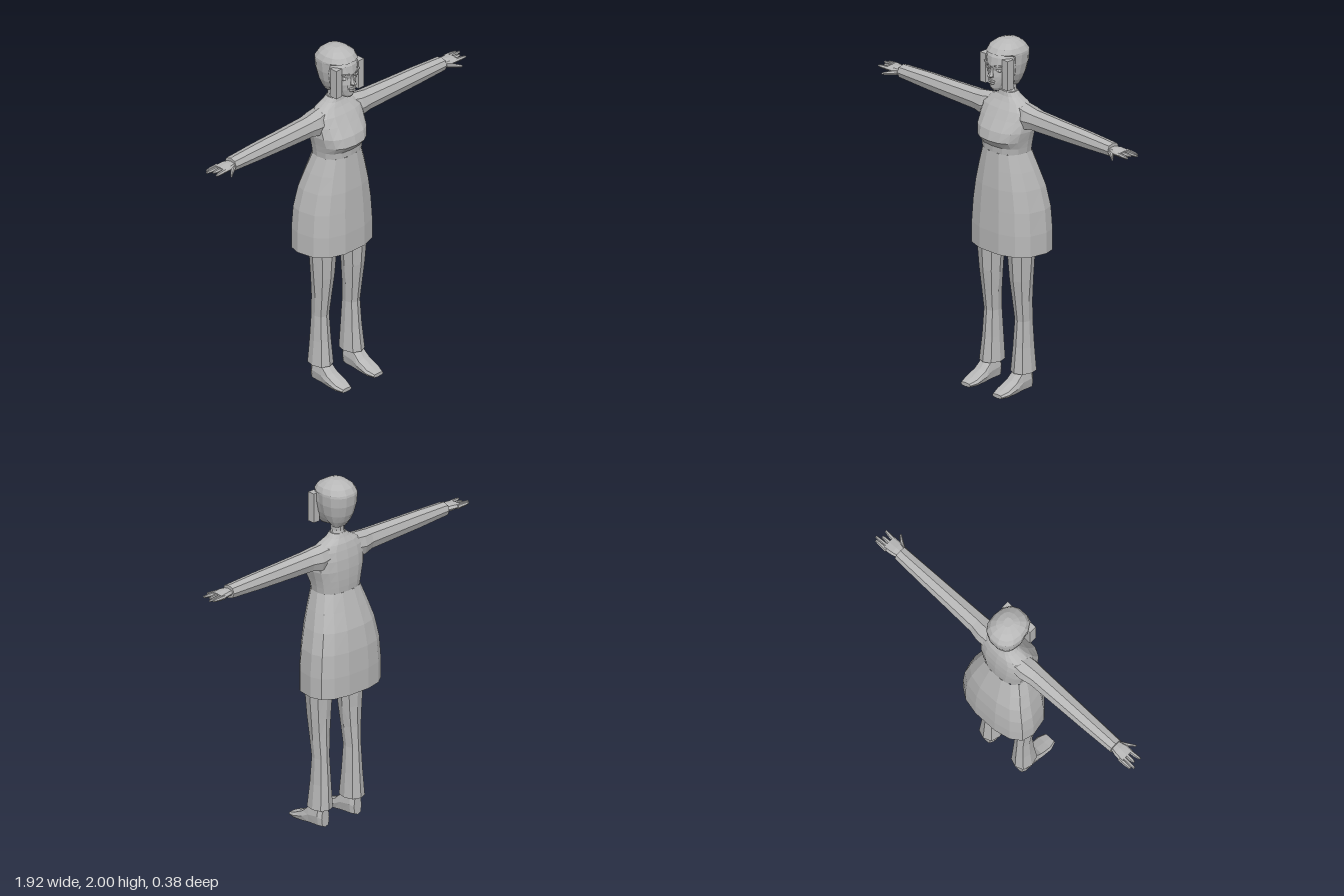
import * as THREE from 'three';

const grey = new THREE.MeshStandardMaterial({ color: 0xb8b8b8, flatShading: true, side: THREE.DoubleSide });
grey.name = 'plain grey';

// Closed ring of n points; f receives cosine and sine, squared off by power p
function ring(n, f, p = 1) {
  const soft = (v) => Math.sign(v) * Math.pow(Math.abs(v) < 1e-9 ? 0 : Math.abs(v), p);
  return Array.from({ length: n }, (_, i) => {
    const a = (i / n) * Math.PI * 2;
    return f(soft(Math.cos(a)), soft(Math.sin(a)));
  });
}

// Horizontal ring: widest at depth zc, reaching zf in front and zb behind
function level(n, [y, hx, zf, zb, zc = (zf + zb) / 2, cx = 0], p = 1) {
  return ring(n, (c, s) => [cx + hx * c, y, zc + s * (s > 0 ? zf - zc : zc - zb)], p);
}

// Upright ring across the x direction
function acrossX(n, [x, y0, y1, z0, z1], p = 1) {
  return ring(n, (c, s) => [x, (y0 + y1) / 2 + s * (y1 - y0) / 2, (z0 + z1) / 2 + c * (z1 - z0) / 2], p);
}

// Skin joining rings, with optional end caps
function loft(rings, capStart = true, capEnd = true) {
  const n = rings[0].length, pos = rings.flat(2), idx = [];
  for (let r = 0; r < rings.length - 1; r++) {
    for (let i = 0; i < n; i++) {
      const a = r * n + i, b = r * n + (i + 1) % n;
      idx.push(a, a + n, b, b, a + n, b + n);
    }
  }
  const cap = (r, flip) => {
    const mid = pos.length / 3;
    pos.push(...[0, 1, 2].map((k) => rings[r].reduce((t, v) => t + v[k], 0) / n));
    for (let i = 0; i < n; i++) {
      const a = r * n + i, b = r * n + (i + 1) % n;
      idx.push(mid, flip ? b : a, flip ? a : b);
    }
  };
  if (capStart) cap(0, false);
  if (capEnd) cap(rings.length - 1, true);
  const g = new THREE.BufferGeometry();
  g.setAttribute('position', new THREE.Float32BufferAttribute(pos, 3));
  g.setIndex(idx);
  g.computeVertexNormals();
  return g;
}

function mirrored(geo) {
  const g = geo.clone().scale(-1, 1, 1);
  const ix = g.index.array;
  for (let i = 0; i < ix.length; i += 3) [ix[i], ix[i + 1]] = [ix[i + 1], ix[i]];
  g.computeVertexNormals();
  return g;
}

export function createModel() {
  const model = new THREE.Group();
  model.name = 'woman';
  const add = (name, geo) => {
    const m = new THREE.Mesh(geo, grey);
    m.name = name;
    model.add(m);
  };
  const addPair = (name, geo) => {
    add('left' + name, geo);
    add('right' + name, mirrored(geo));
  };
  const levels = (n, rows, p) => rows.map((r) => level(n, r, p));

  // Skirt, open at the hem
  add('skirt', loft(levels(14, [
    [0.80, 0.24, 0.14, -0.19, -0.06], [0.92, 0.24, 0.14, -0.19, -0.06],
    [1.05, 0.23, 0.135, -0.183, -0.06], [1.17, 0.205, 0.13, -0.165, -0.05],
    [1.27, 0.175, 0.12, -0.135, -0.03], [1.37, 0.14, 0.11, -0.105, -0.01]
  ], 0.8), false, false));

  // Bodice with bust and sloping shoulders
  add('bodice', loft(levels(16, [
    [1.37, 0.14, 0.11, -0.105, -0.01], [1.405, 0.145, 0.112, -0.108, -0.01],
    [1.445, 0.153, 0.146, -0.11, -0.01], [1.50, 0.168, 0.132, -0.11, -0.01],
    [1.56, 0.17, 0.095, -0.105, -0.01], [1.61, 0.165, 0.065, -0.095, -0.01],
    [1.645, 0.125, 0.04, -0.085, -0.015], [1.672, 0.07, 0.025, -0.07, -0.02],
    [1.695, 0.046, 0.02, -0.06, -0.02]
  ], 0.8)));
  add('neck', loft(levels(10, [
    [1.67, 0.05, 0.023, -0.065], [1.71, 0.037, 0.016, -0.057], [1.79, 0.04, 0.03, -0.06]
  ])));

  // Sleeves
  addPair('Sleeve', loft([
    [0.08, 1.52, 1.655, -0.085, 0.035], [0.16, 1.505, 1.645, -0.085, 0.05],
    [0.22, 1.52, 1.637, -0.072, 0.046], [0.42, 1.525, 1.63, -0.065, 0.042],
    [0.60, 1.53, 1.625, -0.06, 0.038], [0.80, 1.54, 1.615, -0.052, 0.034]
  ].map((r) => acrossX(8, r, 0.85))));

  // Hands: palm, fingers and thumb
  addPair('Palm', loft([
    [0.78, 1.56, 1.595, -0.035, 0.022], [0.83, 1.56, 1.598, -0.05, 0.036],
    [0.885, 1.565, 1.592, -0.056, 0.038]
  ].map((r) => acrossX(8, r, 0.8))));
  [[-0.047, -0.046, 0.945], [-0.027, -0.03, 0.96], [-0.005, -0.006, 0.935], [0.022, 0.03, 0.945]]
    .forEach(([z0, z1, tip], i) => addPair('Finger' + (i + 1), loft([
      [0.865, 1.566, 1.59, z0 - 0.012, z0 + 0.012],
      [0.915, 1.568, 1.588, (z0 + z1) / 2 - 0.011, (z0 + z1) / 2 + 0.011],
      [tip, 1.572, 1.584, z1 - 0.007, z1 + 0.007]
    ].map((r) => acrossX(6, r)))));
  addPair('Thumb', loft([
    [0.805, 1.56, 1.588, 0.005, 0.035], [0.845, 1.557, 1.58, 0.035, 0.06],
    [0.875, 1.556, 1.57, 0.066, 0.08]
  ].map((r) => acrossX(6, r))));

  // Flared trouser legs
  addPair('TrouserLeg', loft(levels(8, [
    [0.105, 0.061, 0.066, -0.078, -0.01, 0.119], [0.25, 0.05, 0.05, -0.07, -0.01, 0.117],
    [0.40, 0.043, 0.038, -0.061, -0.01, 0.117], [0.52, 0.051, 0.052, -0.056, 0, 0.116],
    [0.64, 0.062, 0.068, -0.055, 0, 0.115], [0.80, 0.075, 0.078, -0.06, 0, 0.115],
    [0.95, 0.085, 0.08, -0.07, 0, 0.11]
  ], 0.85)));

  // Shoes: cross-sections from heel to toe, each [z, half width, top]
  addPair('Shoe', loft([
    [-0.052, 0.028, 0.10], [-0.03, 0.043, 0.13], [0.04, 0.046, 0.115],
    [0.085, 0.05, 0.07], [0.15, 0.052, 0.038], [0.195, 0.036, 0.022]
  ].map(([z, hx, top]) => ring(8, (c, s) => [0.12 + hx * s, top / 2 + c * top / 2, z], 0.6))));

  // Head and hair
  add('head', loft(levels(16, [
    [1.724, 0.022, 0.1, 0.05], [1.742, 0.043, 0.115, -0.02, 0.03], [1.775, 0.065, 0.12, -0.07, 0],
    [1.81, 0.079, 0.12, -0.09, 0], [1.845, 0.088, 0.113, -0.105, 0], [1.875, 0.094, 0.122, -0.11, 0],
    [1.92, 0.095, 0.115, -0.115, 0], [1.955, 0.086, 0.092, -0.1, 0], [1.985, 0.05, 0.05, -0.06, 0]
  ], 0.9)));
  add('hair', loft(levels(14, [
    [1.735, 0.045, -0.01, -0.062], [1.77, 0.068, 0.02, -0.088, -0.02], [1.81, 0.086, 0.045, -0.106, -0.01],
    [1.87, 0.1, 0.06, -0.121, -0.01], [1.925, 0.104, 0.075, -0.125, -0.01],
    [1.937, 0.103, 0.113, -0.122, -0.01], [1.965, 0.089, 0.094, -0.105, 0],
    [1.988, 0.06, 0.055, -0.075, 0], [2.0, 0.025, 0.02, -0.035, 0]
  ], 0.85)));
  addPair('HairLock', new THREE.BoxGeometry(0.042, 0.17, 0.045).translate(0.084, 1.833, 0.077));

  // Nose
  add('nose', loft(levels(6, [
    [1.805, 0.014, 0.132, 0.1], [1.814, 0.017, 0.146, 0.1],
    [1.835, 0.009, 0.134, 0.1], [1.868, 0.008, 0.122, 0.1]
  ])));

  // Lips
  [[1.784, 0.027], [1.772, 0.023]].forEach(([y, hx], i) => add(i ? 'lowerLip' : 'upperLip',
    new THREE.SphereGeometry(1, 8, 4).scale(hx, 0.007, 0.014).translate(0, y, 0.117)));

  // Eyes and brows
  addPair('Eye', new THREE.SphereGeometry(1, 8, 6).scale(0.021, 0.01, 0.012)
    .rotateY(0.35).translate(0.042, 1.85, 0.1));
  addPair('Brow', new THREE.BoxGeometry(0.046, 0.007, 0.009)
    .rotateZ(0.12).rotateY(0.35).translate(0.044, 1.877, 0.111));

  return model;
}
